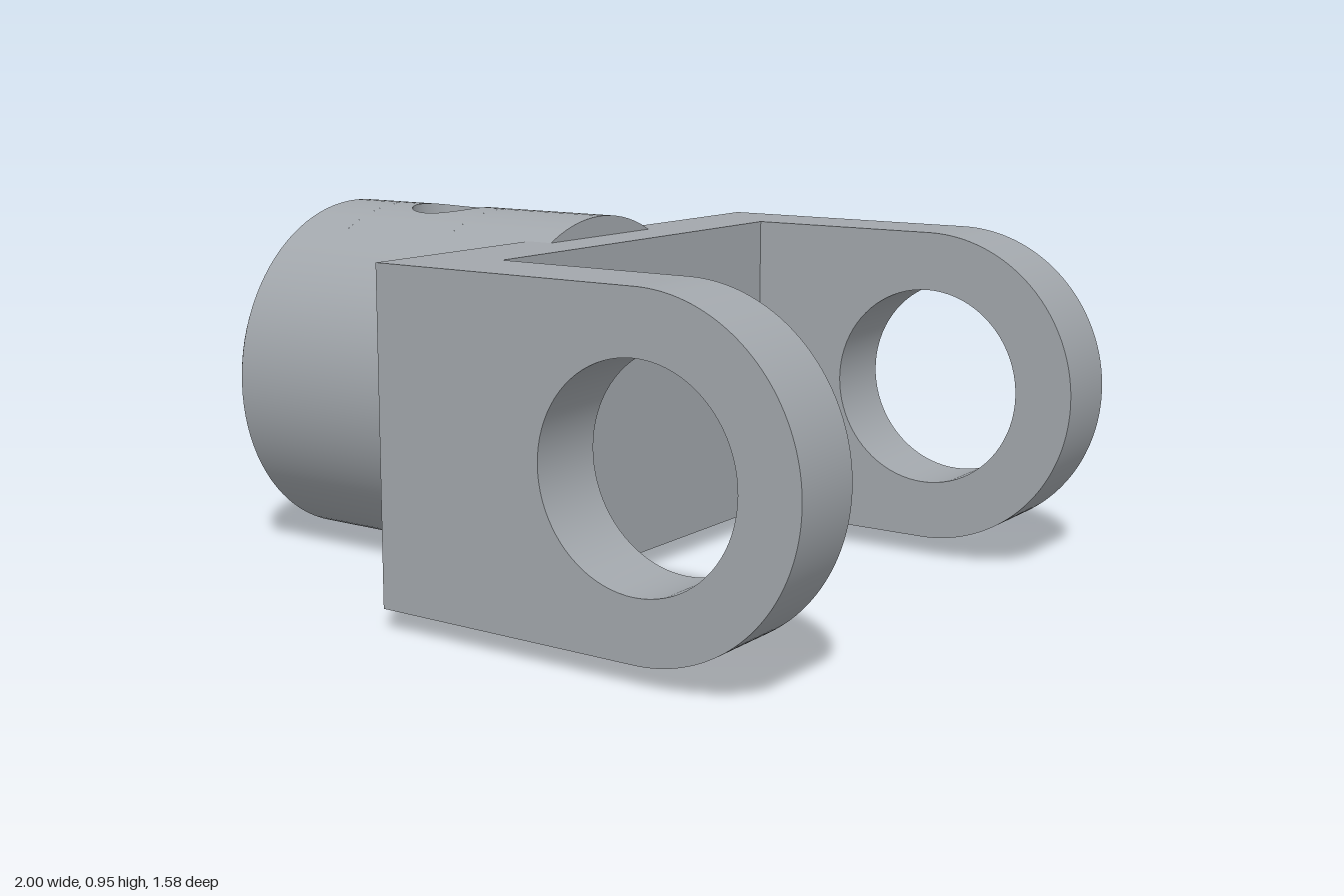
import * as THREE from 'three';
import { mergeGeometries, toCreasedNormals } from 'three/addons/utils/BufferGeometryUtils.js';
import { ParametricGeometry } from 'three/addons/geometries/ParametricGeometry.js';

const CY = 0.473;                          // height of the barrel and eye axes
const R = 0.473, BORE = 0.305;             // barrel outside and bore radius
const HOLE_X = -0.605, HOLE_R = 0.106;     // cross hole in the top of the barrel
const A = Math.PI / 6, H = 0.18;           // half angle and half length of the wall patch around the hole
const X0 = HOLE_X - H, X1 = HOLE_X + H;

// Revolve a list of [x, radius] points about the x axis, one sharp-edged band per segment
function revolve(points, start, length, sides) {
  const bands = [];
  for (let i = 0; i < points.length - 1; i++) {
    const pair = [points[i], points[i + 1]].map(([x, r]) => new THREE.Vector2(r, x));
    bands.push(new THREE.LatheGeometry(pair, sides, start, length));
  }
  return mergeGeometries(bands).rotateZ(-Math.PI / 2);
}

// Curved wall patch at radius r, running from the round hole out to a rectangle
function holePatch(r, dir) {
  return new ParametricGeometry((u, v, p) => {
    const t = dir * u * Math.PI * 2, c = Math.cos(t), s = Math.sin(t);
    const m = Math.max(Math.abs(c), Math.abs(s));
    const x = THREE.MathUtils.lerp(HOLE_R * c, H * c / m, v);
    const a = THREE.MathUtils.lerp(Math.asin(HOLE_R * s / r), A * s / m, v);
    p.set(HOLE_X + x, r * Math.cos(a), r * Math.sin(a));
  }, 64, 6);
}

// Side wall of the cross hole, between the bore and the outside
function holeWall() {
  return new ParametricGeometry((u, v, p) => {
    const t = u * Math.PI * 2, z = HOLE_R * Math.sin(t);
    const r = v < 0.5 ? BORE : R;
    const low = Math.sqrt(BORE * BORE - z * z), high = Math.sqrt(R * R - z * z);
    p.set(HOLE_X + HOLE_R * Math.cos(t), THREE.MathUtils.lerp(low, high, v), z);
  }, 64, 2);
}

// Plate with a rounded end and a round eye
function armGeometry(thickness) {
  const shape = new THREE.Shape();
  shape.moveTo(-0.16, CY - 0.42);
  shape.lineTo(0.58, CY - 0.42);
  shape.absarc(0.58, CY, 0.42, -Math.PI / 2, Math.PI / 2, false);
  shape.lineTo(-0.16, CY + 0.42);
  shape.closePath();
  const eye = new THREE.Path();
  eye.absarc(0.58, CY, 0.265, 0, Math.PI * 2, true);
  shape.holes.push(eye);
  const geo = new THREE.ExtrudeGeometry(shape, { depth: thickness, bevelEnabled: false, curveSegments: 40 });
  return toCreasedNormals(geo, 0.5);
}

export function createModel() {
  const model = new THREE.Group();
  model.name = 'yokeFork';
  const steel = new THREE.MeshStandardMaterial({ color: 0xa2a7ac });
  steel.name = 'greySteel';

  const add = (name, geometry, parent = model) => {
    const mesh = new THREE.Mesh(geometry, steel);
    mesh.name = name;
    parent.add(mesh);
    return mesh;
  };

  // Hollow barrel with chamfered mouth
  const barrel = new THREE.Group();
  barrel.name = 'barrel';
  barrel.position.y = CY;
  model.add(barrel);

  const mouth = [[-0.96, BORE], [-1, 0.345], [-1, 0.435], [-0.96, R]];
  const floor = [[-0.16, 0], [-0.16, BORE]];
  const cap = [[-0.085, R], [-0.085, 0]];
  const top = Math.PI * 1.5;
  add('barrelBody', revolve([...floor, ...mouth, ...cap], top + A, 2 * (Math.PI - A), 80), barrel);
  add('barrelTopOuterEnd', revolve([[X0, BORE], ...mouth, [X0, R]], top - A, 2 * A, 16), barrel);
  add('barrelTopInnerEnd', revolve([[X1, R], ...cap], top - A, 2 * A, 16), barrel);
  add('boreTopInnerEnd', revolve([...floor, [X1, BORE]], top - A, 2 * A, 16), barrel);
  add('holeSurround', holePatch(R, 1), barrel);
  add('boreHoleSurround', holePatch(BORE, -1), barrel);
  add('crossHole', holeWall(), barrel);

  // Fork: bridge plate and two arms
  const bridge = add('bridgePlate', new THREE.BoxGeometry(0.21, 0.84, 1.16));
  bridge.position.set(-0.055, CY, 0);
  for (const [name, z] of [['frontArm', 0.58], ['backArm', -0.79]]) {
    add(name, armGeometry(0.21)).position.z = z;
  }
  return model;
}
